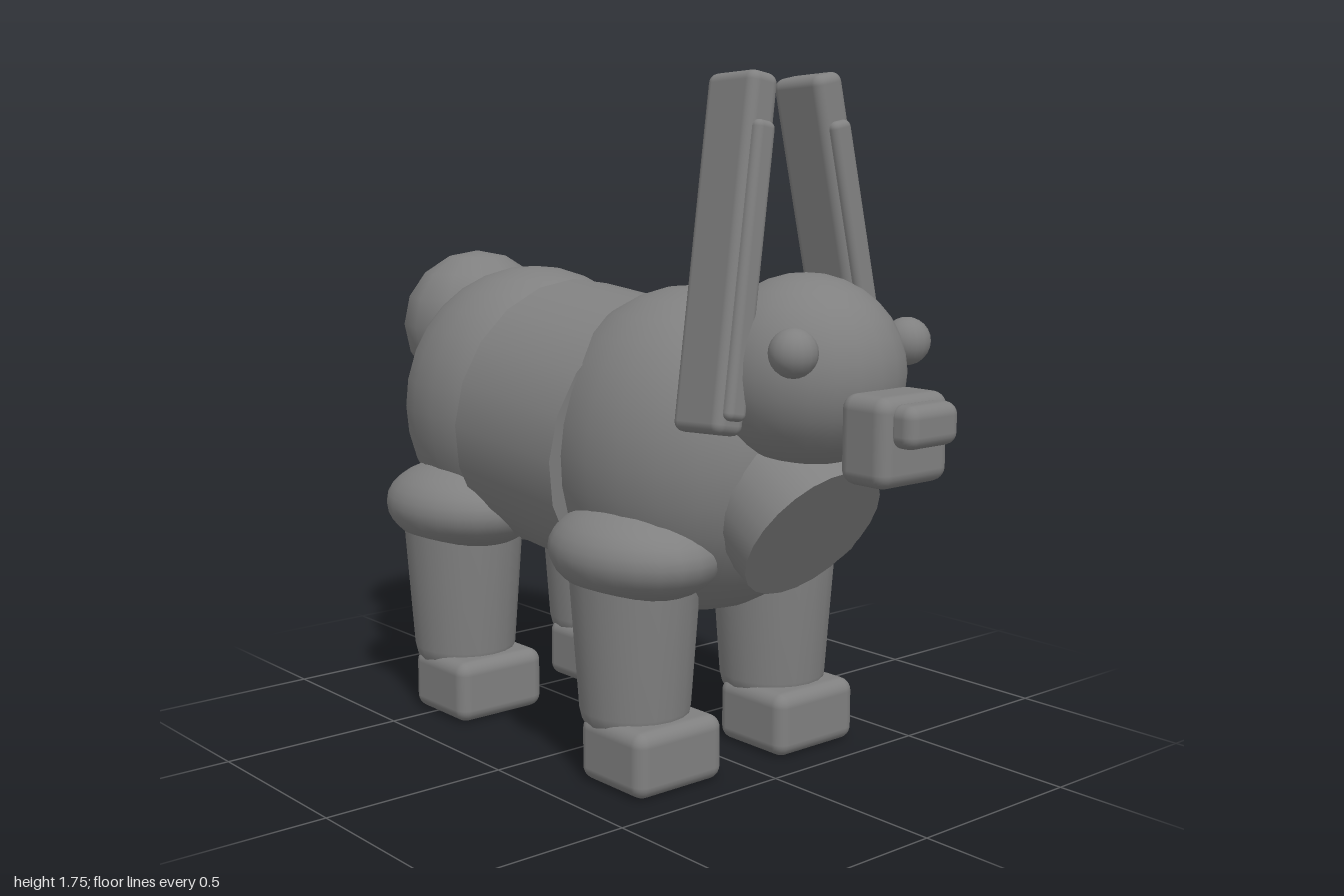
import * as THREE from 'three';
import { RoundedBoxGeometry } from 'three/addons/geometries/RoundedBoxGeometry.js';

export function createModel() {
  const model = new THREE.Group();
  model.name = 'rabbit';
  const grey = new THREE.MeshStandardMaterial({ color: 0x808080 });
  grey.name = 'grey';

  const add = (name, geometry, x, y, z, parent = model) => {
    const mesh = new THREE.Mesh(geometry, grey);
    mesh.name = name;
    mesh.position.set(x, y, z);
    parent.add(mesh);
    return mesh;
  };
  const ball = (name, x, y, z, rx, ry, rz, w = 24, h = 16) =>
    add(name, new THREE.SphereGeometry(1, w, h).scale(rx, ry, rz), x, y, z);
  const box = (name, x, y, z, sx, sy, sz, r, parent) =>
    add(name, new RoundedBoxGeometry(sx, sy, sz, 3, r), x, y, z, parent);

  // Body: two round ends joined by a slightly sloping barrel
  ball('hindBody', -0.5, 0.845, 0, 0.4, 0.395, 0.36);
  ball('frontBody', 0.19, 0.81, 0, 0.42, 0.42, 0.36);
  const barrel = add('barrel', new THREE.CylinderGeometry(0.378, 0.378, 0.42, 20), -0.145, 0.818, 0);
  barrel.rotation.z = -(Math.PI / 2 + 0.095);
  ball('tail', -0.785, 1.055, 0, 0.215, 0.215, 0.22, 12, 8);

  // Neck stump with a flat face pointing forward and down
  const neck = add('neck', new THREE.CylinderGeometry(0.2, 0.2, 0.3, 24), 0.495, 0.737, 0);
  neck.rotation.z = -2.157;

  // Head and face
  ball('head', 0.585, 1.05, 0, 0.25, 0.235, 0.235);
  box('muzzle', 0.873, 0.925, 0, 0.145, 0.21, 0.23, 0.035);
  box('nose', 0.96, 0.965, 0, 0.08, 0.1, 0.17, 0.03);

  // Leg profile: rounded ankle widening to the thigh
  const legProfile = [[0, 0.06], [0.09, 0.07], [0.135, 0.15], [0.142, 0.18], [0.165, 0.5], [0.165, 0.6]]
    .map(([r, y]) => new THREE.Vector2(r, y));

  for (const side of [1, -1]) {
    const sideName = side > 0 ? 'left' : 'right';
    ball(sideName + 'Eye', 0.735, 1.12, side * 0.19, 0.058, 0.058, 0.058, 16, 12);

    // Tall ears leaning inward, each with a raised front strip
    const ear = new THREE.Group();
    ear.name = sideName + 'Ear';
    ear.position.set(0.495, 1.332, side * 0.18);
    ear.rotation.set(-side * 0.18, 0, 0.055);
    box('outerEar', 0, 0, 0, 0.166, 0.85, 0.09, 0.025, ear);
    box('innerEar', 0.082, -0.04, 0, 0.04, 0.7, 0.062, 0.018, ear);
    model.add(ear);

    // Thigh, leg and foot at the front and back
    for (const [place, x] of [['Front', 0.235], ['Hind', -0.525]]) {
      const z = side * 0.24;
      ball(sideName + place + 'Thigh', x, 0.583, z, 0.25, 0.125, 0.2);
      add(sideName + place + 'Leg', new THREE.LatheGeometry(legProfile, 20), x, 0, z);
      box(sideName + place + 'Foot', x + 0.06, 0.087, side * 0.237, 0.245, 0.168, 0.28, 0.035);
    }
  }
  return model;
}
